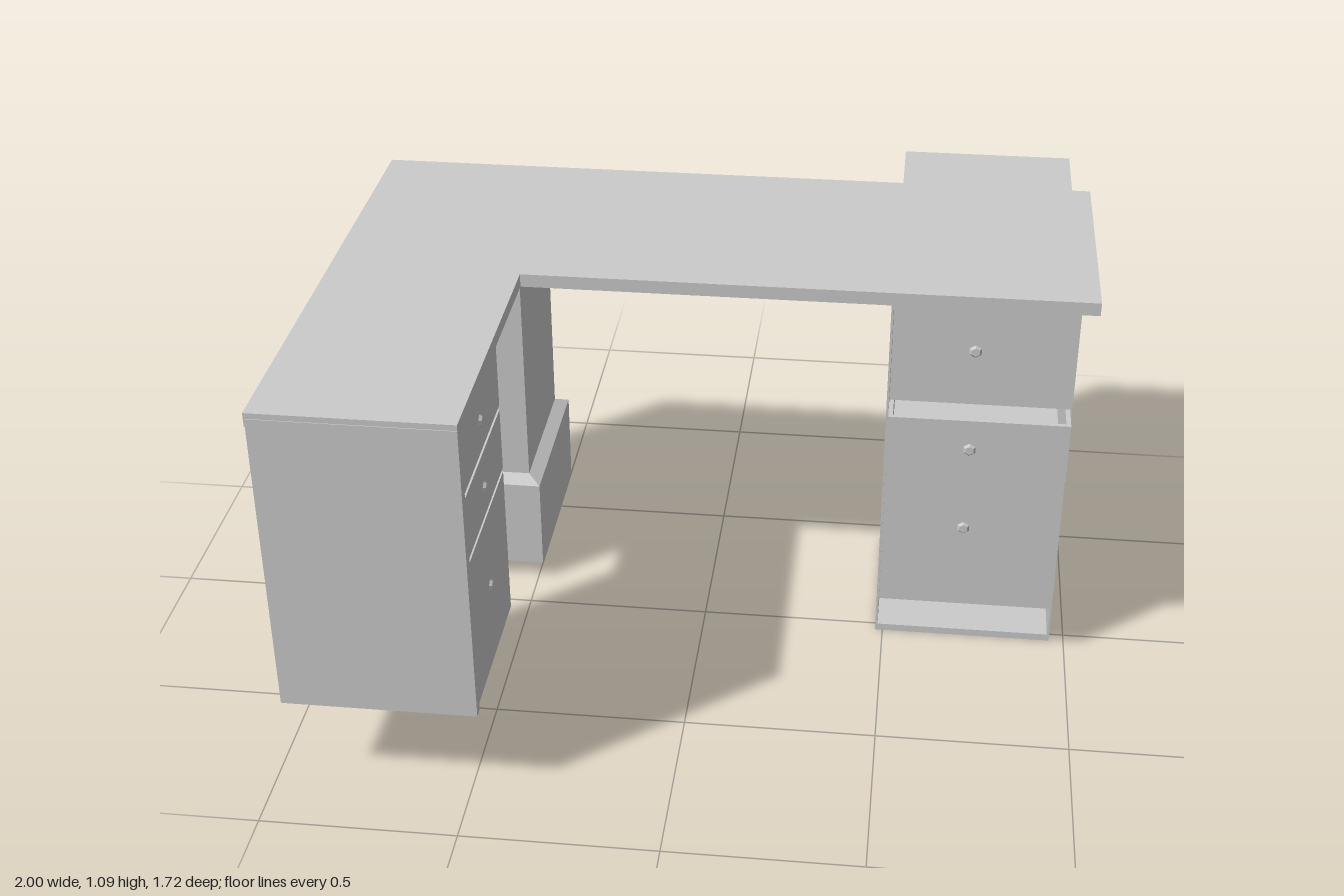
import * as THREE from 'three';

const mat = new THREE.MeshStandardMaterial({ color: 0xcccccc, flatShading: true });
const thin = new THREE.MeshStandardMaterial({ color: 0xcccccc, flatShading: true, side: THREE.DoubleSide });

// Box given by its extents on each axis
function box(name, [x0, x1], [y0, y1], [z0, z1]) {
  const m = new THREE.Mesh(new THREE.BoxGeometry(x1 - x0, y1 - y0, z1 - z0), mat);
  m.position.set((x0 + x1) / 2, (y0 + y1) / 2, (z0 + z1) / 2);
  m.name = name;
  return m;
}

// Open-topped drawer; origin at the bottom centre of its front, facing +z
function drawer(name, w, h, d, knobX, knobY) {
  const g = new THREE.Group(), t = 0.012, a = w / 2;
  g.name = name;
  g.add(
    box('drawerFront', [-a, a], [0, h], [-t, 0]),
    box('drawerBack', [-a, a], [0, h], [-d, -d + t]),
    box('drawerBottom', [-a, a], [0, t], [-d + t, -t]),
  );
  for (const s of [-1, 1]) {
    const edges = [s * a, s * (a - t)].sort((p, q) => p - q);
    g.add(box('drawerSide', edges, [t, h], [-d + t, -t]));
  }
  const knob = new THREE.Mesh(new THREE.CylinderGeometry(0.012, 0.018, 0.007, 6), mat);
  knob.name = 'knob';
  knob.rotation.x = Math.PI / 2;
  knob.position.set(knobX, knobY, 0.0035);
  g.add(knob);
  return g;
}

// Mitred L-shaped skirt: a sloped section swept around the corner
function cornerSkirt() {
  const outer = [[-1, -0.12], [-0.485, -0.12], [-0.485, -0.615]];
  const inner = [[-0.96, -0.155], [-0.52, -0.155], [-0.52, -0.58]];
  const pos = [], idx = [];
  for (let i = 0; i < 3; i++) {
    const [ox, oz] = outer[i], [ix, iz] = inner[i];
    pos.push(ox, 0.05, oz, ox, 0.31, oz, ix, 0.33, iz, ix, 0.14, iz);
  }
  for (let i = 0; i < 2; i++) for (let j = 0; j < 4; j++) {
    const a = i * 4 + j, b = i * 4 + (j + 1) % 4;
    idx.push(a, a + 4, b, b, a + 4, b + 4);
  }
  idx.push(0, 1, 2, 0, 2, 3, 8, 10, 9, 8, 11, 10);
  const indexed = new THREE.BufferGeometry();
  indexed.setAttribute('position', new THREE.Float32BufferAttribute(pos, 3));
  indexed.setIndex(idx);
  const geo = indexed.toNonIndexed();
  geo.computeVertexNormals();
  const m = new THREE.Mesh(geo, thin);
  m.name = 'cornerSkirt';
  return m;
}

export function createModel() {
  const desk = new THREE.Group();
  desk.name = 'cornerDesk';

  // L-shaped desktop, drawn in x and -z then laid flat
  const outline = [[-0.96, 0.58], [-0.96, -0.855], [-0.465, -0.855], [-0.465, -0.095], [1, -0.095], [1, 0.58]];
  const shape = new THREE.Shape(outline.map(([x, y]) => new THREE.Vector2(x, y)));
  const top = new THREE.Mesh(new THREE.ExtrudeGeometry(shape, { depth: 0.035, bevelEnabled: false }), mat);
  top.rotation.x = -Math.PI / 2;
  top.position.y = 1.05;
  top.name = 'desktop';
  desk.add(top);

  // Right pedestal: open-fronted carcass
  const pedestal = new THREE.Group();
  pedestal.name = 'rightPedestal';
  pedestal.add(
    box('leftSide', [0.48, 0.486], [0, 1.05], [-0.43, 0.03]),
    box('rightSide', [0.954, 0.96], [0, 1.05], [-0.43, 0.03]),
    box('floor', [0.486, 0.954], [0, 0.02], [-0.43, 0.03]),
    box('back', [0.486, 0.954], [0.02, 1.05], [-0.43, -0.42]),
  );
  // bottom, height, front z of each drawer, pulled out by different amounts
  for (const [y, h, z, ky] of [[0.16, 0.415, 0.105, 0.245], [0.585, 0.165, 0.135, 0.08], [0.755, 0.29, 0.055, 0.155]]) {
    const d = drawer('rightDrawer', 0.466, h, 0.44, -0.02, ky);
    d.position.set(0.72, y, z);
    pedestal.add(d);
  }
  desk.add(pedestal);

  // Cabinet standing out behind the right pedestal
  desk.add(box('rearCabinet', [0.487, 0.955], [0.14, 1.06], [-0.86, -0.43]));

  // Left pedestal: separate drawers facing inward, with an end panel
  const left = new THREE.Group();
  left.name = 'leftPedestal';
  left.add(box('endPanel', [-0.957, -0.465], [0.26, 1.07], [0.828, 0.857]));
  for (const [y, h, ky] of [[0.263, 0.417, 0.217], [0.692, 0.168, 0.075], [0.873, 0.167, 0.082]]) {
    const d = drawer('leftDrawer', 0.433, h, 0.485, 0, ky);
    d.rotation.y = Math.PI / 2;
    d.position.set(-0.47, y, 0.6125);
    left.add(d);
  }
  desk.add(left);

  // Corner column with its flared skirt
  desk.add(box('cornerColumn', [-0.96, -0.52], [0.14, 1.05], [-0.58, -0.155]), cornerSkirt());

  return desk;
}
